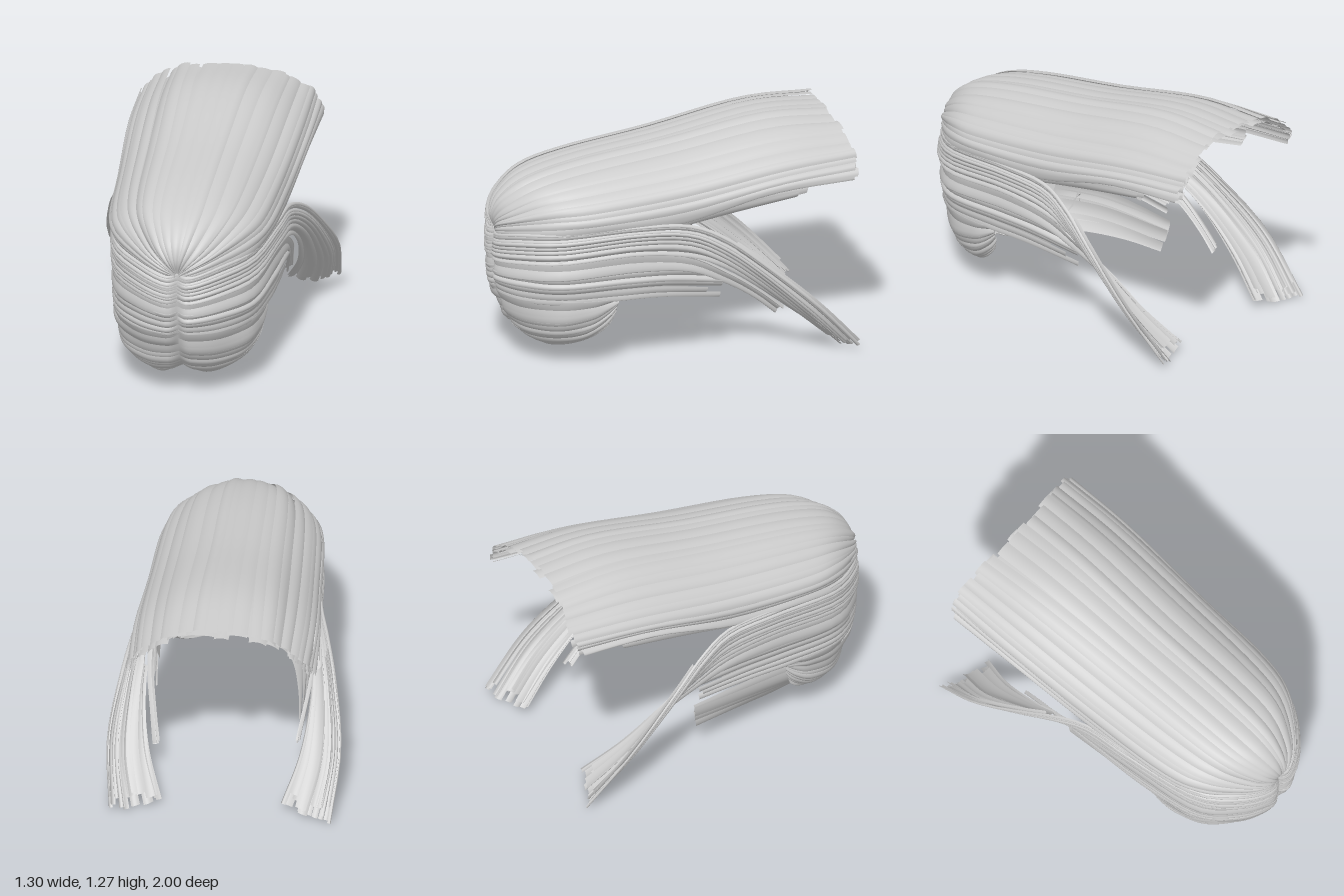
import * as THREE from 'three';

const material = new THREE.MeshStandardMaterial({ color: 0xcccccc, side: THREE.DoubleSide });

// Small seeded random generator
function seeded(seed) {
  let s = seed;
  return () => {
    s = (s * 16807) % 2147483647;
    return s / 2147483647;
  };
}

const curve = (pts) => new THREE.CatmullRomCurve3(pts, false, 'catmullrom', 0.5);
const guide = (pts) => curve(pts.map((p) => new THREE.Vector3(...p)));

// Guide that leaves the parting at height y, depth z, and swells out of the cleft
const partedGuide = (y, z, pts) => guide([[-0.004, y, z - 0.03], [0.07, y - 0.006, z - 0.005], ...pts]);

// Surface swept through a row of guides: u runs across them, v along them
function surface(guides) {
  const at = (u, v) => curve(guides.map((g) => g.getPoint(v))).getPoint(u);
  const e = 0.004;
  return (u, v, lift) => {
    u = THREE.MathUtils.clamp(u, 0, 1);
    v = THREE.MathUtils.clamp(v, 0, 1);
    const u0 = Math.max(0, u - e), u1 = Math.min(1, u + e);
    const v0 = Math.max(0, v - e), v1 = Math.min(1, v + e);
    const du = at(u1, v).sub(at(u0, v));
    const dv = at(u, v1).sub(at(u, v0));
    return at(u, v).addScaledVector(du.cross(dv).normalize(), lift);
  };
}

// Grid mesh from a point function; side -1 mirrors it across x
function gridMesh(name, rows, cols, point, side) {
  const pos = [], index = [];
  for (let i = 0; i <= rows; i++) {
    for (let j = 0; j <= cols; j++) {
      const p = point(i / rows, j / cols);
      pos.push(p.x * side, p.y, p.z);
      if (i < rows && j < cols) {
        const a = i * (cols + 1) + j, b = a + 1, c = a + cols + 1, d = c + 1;
        if (side > 0) index.push(a, b, c, b, d, c);
        else index.push(a, c, b, b, c, d);
      }
    }
  }
  const geo = new THREE.BufferGeometry();
  geo.setAttribute('position', new THREE.Float32BufferAttribute(pos, 3));
  geo.setIndex(index);
  geo.computeVertexNormals();
  const mesh = new THREE.Mesh(geo, material);
  mesh.name = name;
  return mesh;
}

// A section of hair: smooth under-sheet plus layers of overlapping, ragged-ended strands
function hairSection(name, guides, { count, side = 1, seed = 1, sheetEnd = 0.75, ragged = 0.05, layers = [0] }) {
  const group = new THREE.Group();
  group.name = name;
  const S = surface(guides);
  const rand = seeded(seed * 7919);
  if (sheetEnd > 0) {
    group.add(gridMesh('underSheet', 30, 24, (a, b) => S(b, a * sheetEnd, -0.01), side));
  }
  layers.forEach((depth, layer) => {
    for (let k = 0; k < count; k++) {
      const centre = (k + 0.5 + layer * 0.4 + (rand() - 0.5) * 0.5) / count;
      const half = (0.62 + rand() * 0.3) / count;
      const end = 1 - rand() * ragged;
      const start = layer * 0.7;
      const tilt = (rand() - 0.5) * 0.018;
      const bulge = 0.004 + rand() * 0.008;
      const lift = rand() * 0.009 - depth;
      const sway = (rand() - 0.5) * 0.6 / count;
      group.add(gridMesh('strand', 32, 5, (a, b) => {
        const v = start + (end - start) * a;
        const s = b * 2 - 1;
        const grow = Math.min(1, v * 6 + 0.1);
        const width = half * (1 - 0.15 * a * a);
        const u = centre + sway * a * a + s * width;
        return S(u, v, (lift + bulge * (1 - s * s) + tilt * s) * grow);
      }, side));
    }
  });
  return group;
}

export function createModel() {
  const model = new THREE.Group();
  model.name = 'hair';

  // Top canopy: fans out from the crown and runs back in an arch
  const half = [
    [[0, 0.79, 0.975], [0, 0.87, 0.985], [0, 0.965, 0.94], [0, 1.06, 0.8], [0, 1.13, 0.5], [0, 1.19, 0], [0, 1.275, -0.55], [0, 1.255, -0.97]],
    [[0.008, 0.785, 0.975], [0.05, 0.86, 0.985], [0.11, 0.95, 0.93], [0.17, 1.05, 0.77], [0.19, 1.11, 0.5], [0.2, 1.17, 0], [0.22, 1.25, -0.55], [0.23, 1.235, -0.97]],
    [[0.01, 0.78, 0.975], [0.08, 0.84, 0.98], [0.18, 0.905, 0.91], [0.29, 0.99, 0.74], [0.34, 1.03, 0.5], [0.37, 1.08, 0], [0.39, 1.155, -0.55], [0.39, 1.165, -0.985]],
    [[0.012, 0.77, 0.975], [0.09, 0.815, 0.98], [0.21, 0.86, 0.905], [0.36, 0.91, 0.73], [0.43, 0.93, 0.5], [0.46, 0.97, 0], [0.485, 1.055, -0.55], [0.48, 1.085, -0.995]],
    [[0.012, 0.75, 0.97], [0.09, 0.765, 0.97], [0.22, 0.785, 0.89], [0.375, 0.81, 0.71], [0.44, 0.84, 0.4], [0.46, 0.85, 0.02], [0.5, 0.97, -0.48], [0.515, 1.0, -0.985]],
  ];
  const mirrored = half.slice(1).reverse().map((g) => g.map(([x, y, z]) => [-x, y, z]));
  model.add(hairSection('topCanopy', [...mirrored, ...half].map(guide),
    { count: 24, seed: 3, ragged: 0.015, layers: [0, 0.025] }));

  // Side wings: from the parting round the sides, then drooping at the back
  const wing = [
    partedGuide(0.785, 0.99, [[0.22, 0.82, 0.9], [0.38, 0.85, 0.7], [0.45, 0.865, 0.3], [0.475, 0.845, 0], [0.53, 0.765, -0.2], [0.59, 0.61, -0.4], [0.645, 0.35, -0.69], [0.61, 0.035, -0.975]]),
    partedGuide(0.7, 1, [[0.23, 0.73, 0.91], [0.39, 0.76, 0.7], [0.46, 0.79, 0.3], [0.475, 0.76, 0], [0.52, 0.67, -0.2], [0.56, 0.51, -0.41], [0.575, 0.26, -0.68], [0.51, 0.02, -0.915]]),
    partedGuide(0.62, 1, [[0.23, 0.64, 0.91], [0.39, 0.665, 0.7], [0.45, 0.69, 0.3], [0.465, 0.65, 0], [0.47, 0.57, -0.2], [0.465, 0.43, -0.4], [0.42, 0.24, -0.63], [0.33, 0.06, -0.85]]),
  ];

  // Inner locks: branch off below each wing and end sooner
  const innerLocks = [
    partedGuide(0.64, 0.99, [[0.22, 0.66, 0.9], [0.38, 0.68, 0.7], [0.44, 0.7, 0.3], [0.45, 0.65, 0], [0.45, 0.52, -0.24], [0.42, 0.38, -0.43], [0.39, 0.23, -0.6]]),
    partedGuide(0.54, 0.99, [[0.23, 0.55, 0.9], [0.39, 0.57, 0.7], [0.44, 0.59, 0.3], [0.45, 0.56, 0], [0.43, 0.46, -0.22], [0.4, 0.34, -0.4], [0.36, 0.19, -0.57]]),
  ];

  // Side bands: lower strands that run straight back under the wings
  const band = [
    partedGuide(0.56, 0.99, [[0.23, 0.57, 0.89], [0.38, 0.58, 0.7], [0.43, 0.59, 0.3], [0.44, 0.58, 0.05], [0.43, 0.53, -0.23]]),
    partedGuide(0.49, 0.985, [[0.23, 0.49, 0.89], [0.38, 0.5, 0.7], [0.43, 0.51, 0.36], [0.44, 0.5, 0.1], [0.43, 0.45, -0.22]]),
    partedGuide(0.42, 0.97, [[0.23, 0.41, 0.88], [0.37, 0.42, 0.7], [0.42, 0.425, 0.42], [0.43, 0.42, 0.15], [0.41, 0.37, -0.21]]),
  ];

  // Nape: lowest strands, hooking up to a short edge
  const nape = [
    partedGuide(0.44, 0.975, [[0.23, 0.43, 0.885], [0.37, 0.44, 0.7], [0.41, 0.44, 0.55], [0.415, 0.44, 0.46], [0.415, 0.44, 0.37]]),
    partedGuide(0.3, 0.92, [[0.2, 0.28, 0.85], [0.34, 0.29, 0.71], [0.39, 0.32, 0.55], [0.4, 0.36, 0.46], [0.4, 0.41, 0.39]]),
    partedGuide(0.2, 0.85, [[0.17, 0.18, 0.8], [0.28, 0.19, 0.7], [0.35, 0.22, 0.57], [0.38, 0.29, 0.46], [0.38, 0.36, 0.4]]),
    partedGuide(0.15, 0.74, [[0.13, 0.115, 0.7], [0.21, 0.13, 0.65], [0.28, 0.17, 0.56], [0.34, 0.23, 0.47], [0.36, 0.29, 0.42]]),
  ];

  // Flap of loose locks hanging inside the canopy edge
  const flap = [
    guide([[0.445, 0.94, 0.2], [0.46, 1.0, -0.25], [0.47, 1.04, -0.72]]),
    guide([[0.445, 0.88, 0.15], [0.455, 0.94, -0.25], [0.465, 0.98, -0.71]]),
    guide([[0.44, 0.81, 0.1], [0.43, 0.85, -0.2], [0.45, 0.92, -0.69]]),
  ];

  for (const side of [1, -1]) {
    const label = side > 0 ? 'left' : 'right';
    model.add(hairSection(label + 'Wing', wing,
      { count: 9, side, seed: 12 + side, sheetEnd: 0.5, ragged: 0.03, layers: [0, 0.02] }));
    model.add(hairSection(label + 'InnerLocks', innerLocks,
      { count: 3, side, seed: 62 + side, sheetEnd: 0, ragged: 0.06 }));
    model.add(hairSection(label + 'SideBand', band,
      { count: 5, side, seed: 22 + side, sheetEnd: 0.9, ragged: 0.05 }));
    model.add(hairSection(label + 'Nape', nape,
      { count: 9, side, seed: 42 + side, sheetEnd: 0.97, ragged: 0.03 }));
    model.add(hairSection(label + 'CanopyFlap', flap,
      { count: 4, side, seed: 52 + side, sheetEnd: 0, ragged: 0.08 }));
  }

  // Loose lock trailing back from under the right side
  const lock = [
    guide([[0.36, 0.41, 0.55], [0.41, 0.41, 0.2], [0.42, 0.36, -0.23]]),
    guide([[0.33, 0.27, 0.6], [0.38, 0.29, 0.25], [0.4, 0.26, -0.22]]),
    guide([[0.16, 0.13, 0.69], [0.28, 0.17, 0.4], [0.34, 0.18, 0.1], [0.37, 0.16, -0.2]]),
  ];
  model.add(hairSection('rightTrailingLock', lock, { count: 4, side: -1, seed: 31, sheetEnd: 0 }));

  return model;
}
